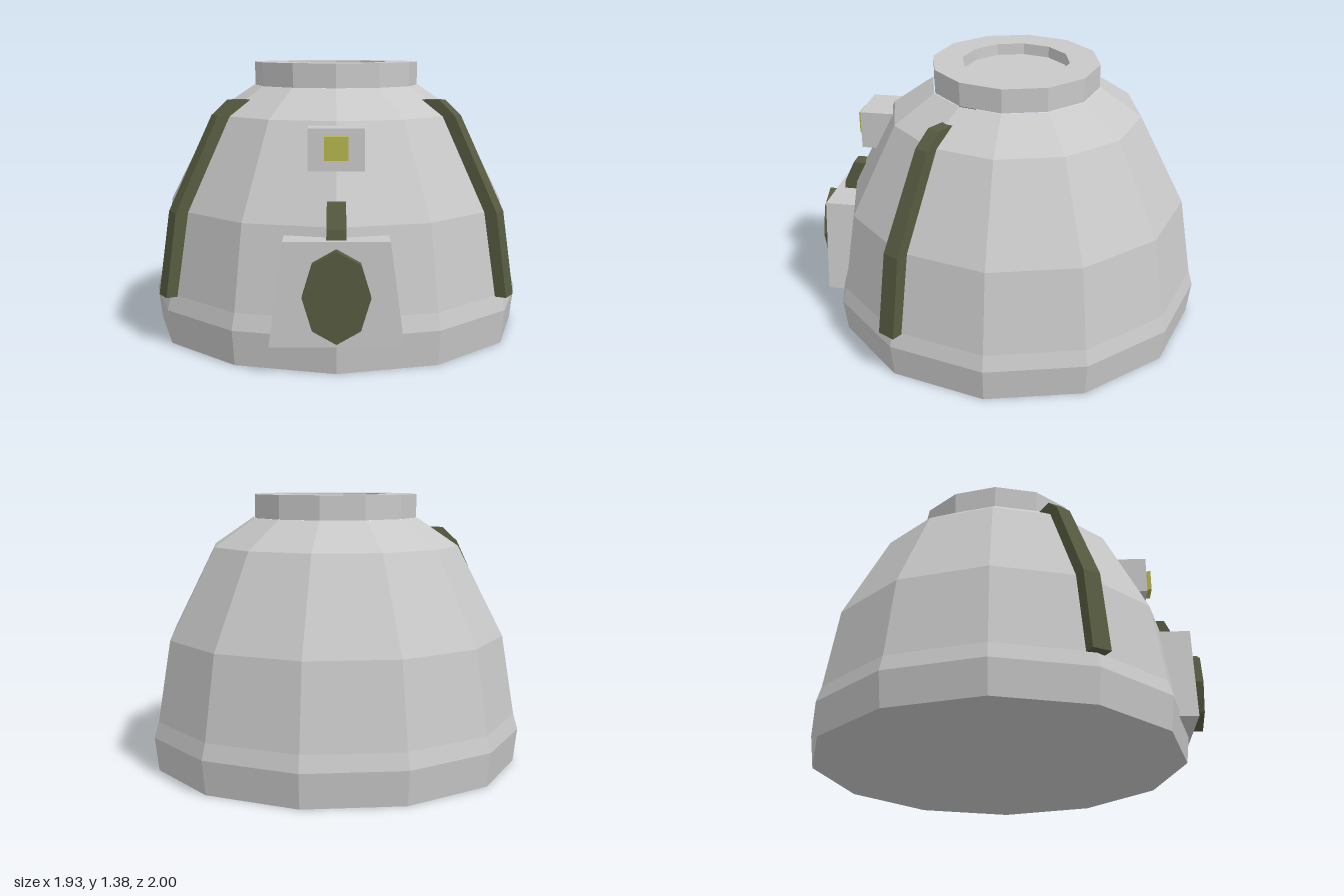
import * as THREE from 'three';

const CENTER_Z = -0.035; // axis of the dome
const SIDES = 12;

const mat = (name, color) => {
  const m = new THREE.MeshStandardMaterial({ color, flatShading: true });
  m.name = name;
  return m;
};

export function createModel() {
  const grey = mat('pale grey', 0xc8c8c8);
  const green = mat('olive green', 0x565b40);
  const yellow = mat('lamp yellow', 0xb3b44e);
  const model = new THREE.Group();
  model.name = 'domeTurret';

  const add = (name, geometry, material) => {
    const mesh = new THREE.Mesh(geometry, material);
    mesh.name = name;
    model.add(mesh);
    return mesh;
  };

  // Twelve-sided turned parts, profile given as [radius, height]
  const turned = (name, profile) => {
    const points = profile.map(([r, y]) => new THREE.Vector2(r, y));
    add(name, new THREE.LatheGeometry(points, SIDES), grey).position.z = CENTER_Z;
  };
  turned('baseRing', [[0, 0], [0.945, 0], [0.965, 0.17], [0.942, 0.25]]);
  turned('dome', [[0.942, 0.25], [0.875, 0.66], [0.64, 1.12], [0.43, 1.262]]);
  turned('collar', [[0.425, 1.262], [0.425, 1.382], [0.272, 1.382], [0.268, 1.325], [0, 1.325]]);

  // Bent rib from rectangular sections [height, inner radius, outer radius, half width]
  const rib = (name, sections, angle) => {
    const pos = [];
    const index = [];
    for (const [y, inner, outer, w] of sections) {
      pos.push(-w, y, outer, w, y, outer, w, y, inner, -w, y, inner);
    }
    for (let s = 0; s < sections.length - 1; s++) {
      for (let k = 0; k < 4; k++) {
        const a = s * 4 + k, b = s * 4 + (k + 1) % 4;
        index.push(a, b, b + 4, a, b + 4, a + 4);
      }
    }
    const t = (sections.length - 1) * 4;
    index.push(0, 2, 1, 0, 3, 2, t, t + 1, t + 2, t, t + 2, t + 3);
    const g = new THREE.BufferGeometry();
    g.setAttribute('position', new THREE.Float32BufferAttribute(pos, 3));
    g.setIndex(index);
    const flat = g.toNonIndexed();
    flat.computeVertexNormals();
    const mesh = add(name, flat, green);
    mesh.position.z = CENTER_Z;
    mesh.rotation.y = angle;
  };
  const foot = [0.245, 0.93, 0.987, 0.048];
  const bend = [0.66, 0.86, 0.927, 0.045];
  const sideSections = [foot, bend, [1.125, 0.61, 0.695, 0.037], [1.2, 0.5, 0.61, 0.033]];
  rib('leftRib', sideSections, Math.PI / 3);
  rib('rightRib', sideSections, -Math.PI / 3);
  rib('frontRib', [foot, bend, [0.77, 0.8, 0.875, 0.043]], 0);

  // Tapered housing at the front
  const outline = new THREE.Shape([
    new THREE.Vector2(-0.305, 0.135), new THREE.Vector2(0.305, 0.135),
    new THREE.Vector2(0.24, 0.615), new THREE.Vector2(-0.24, 0.615),
  ]);
  add('frontHousing', new THREE.ExtrudeGeometry(outline, { depth: 0.22, bevelEnabled: false }), grey)
    .position.z = 0.72;

  // Tall eight-sided hatch on the housing
  const hatch = new THREE.CylinderGeometry(1, 1, 1, 8);
  hatch.rotateX(Math.PI / 2);
  hatch.scale(0.153, 0.21, 0.054);
  add('hatch', hatch, green).position.set(0, 0.375, 0.973);

  // Lamp box with its lens
  add('lampBox', new THREE.BoxGeometry(0.26, 0.195, 0.255), grey).position.set(0, 1.002, 0.627);
  add('lampLens', new THREE.BoxGeometry(0.11, 0.11, 0.04), yellow).position.set(0, 1.01, 0.766);

  return model;
}
